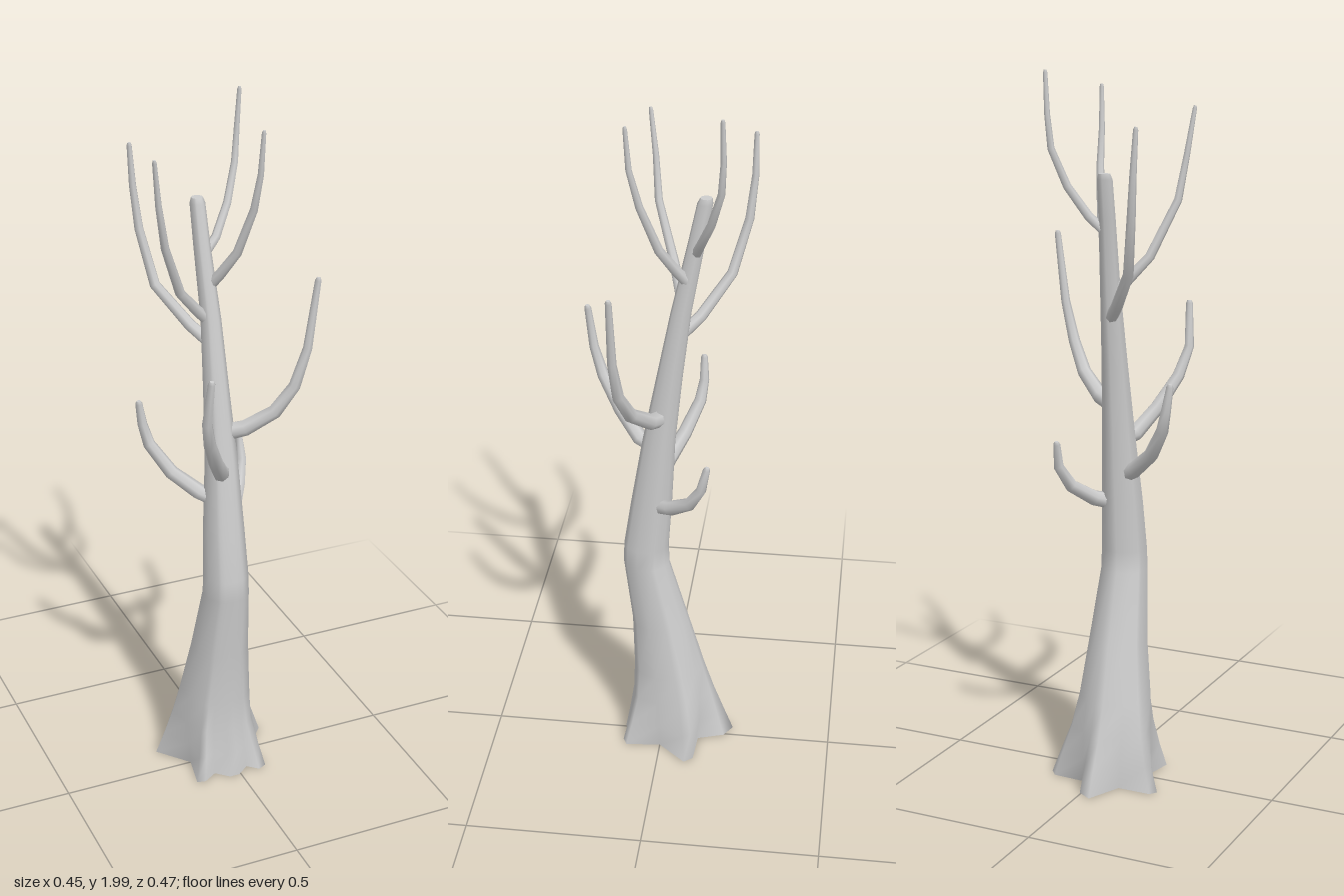
import * as THREE from 'three';

const material = new THREE.MeshStandardMaterial({ color: 0xcccccc });

// Skins a stack of closed rings (arrays of Vector3) and closes both ends
function loft(name, rings) {
  const n = rings[0].length, pos = [], index = [];
  const add = (v) => pos.push(v.x, v.y, v.z) / 3 - 1;
  rings.forEach((ring) => ring.forEach(add));
  for (let i = 0; i < rings.length - 1; i++) {
    for (let j = 0; j < n; j++) {
      const a = i * n + j, b = i * n + (j + 1) % n;
      index.push(a, a + n, b, b, a + n, b + n);
    }
  }
  // End caps have their own vertices so their rims stay sharp
  [rings[0], rings[rings.length - 1]].forEach((ring, top) => {
    const centre = new THREE.Vector3();
    ring.forEach((v) => centre.addScaledVector(v, 1 / n));
    const c = add(centre), ids = ring.map(add);
    ids.forEach((id, j) => {
      const next = ids[(j + 1) % n];
      if (top) index.push(c, next, id);
      else index.push(c, id, next);
    });
  });
  const geometry = new THREE.BufferGeometry();
  geometry.setAttribute('position', new THREE.Float32BufferAttribute(pos, 3));
  geometry.setIndex(index);
  geometry.computeVertexNormals();
  const mesh = new THREE.Mesh(geometry, material);
  mesh.name = name;
  return mesh;
}

// Trunk: a star of roots at the ground that blends into round sections
function trunk() {
  const outline = [ // x, z: two corners per root, then the hollow after it
    [0.085, 0.1], [0.06, 0.112], [0.03, 0.085],
    [-0.005, 0.113], [-0.035, 0.113], [-0.07, 0.08],
    [-0.11, 0.105], [-0.135, 0.1], [-0.115, 0.0],
    [-0.19, -0.09], [-0.175, -0.11], [-0.08, -0.11],
    [-0.035, -0.21], [0.005, -0.185], [0.03, -0.11],
    [0.125, -0.105], [0.145, -0.08], [0.075, 0.0],
  ];
  const sections = [ // y, centre x, centre z, radius, root share
    [0, -0.02, -0.03, 0.11, 1],
    [0.07, -0.025, -0.028, 0.109, 0.62],
    [0.15, -0.028, -0.025, 0.106, 0.25],
    [0.24, -0.027, -0.015, 0.1, 0.06],
    [0.4, -0.023, 0.008, 0.083, 0],
    [0.6, -0.022, 0.05, 0.066, 0],
    [0.66, -0.022, 0.05, 0.064, 0],
    [0.8, -0.022, 0.035, 0.058, 0],
    [1.0, -0.02, 0.014, 0.046, 0],
    [1.2, -0.022, -0.015, 0.036, 0],
    [1.4, -0.024, -0.046, 0.028, 0],
    [1.6, -0.033, -0.085, 0.023, 0],
    [1.71, -0.036, -0.106, 0.021, 0],
    [1.725, -0.036, -0.109, 0.016, 0],
  ];
  return loft('trunk', sections.map(([y, cx, cz, r, share]) => outline.map(([x, z]) => {
    const angle = Math.atan2(z + 0.03, x + 0.02);
    return new THREE.Vector3(
      THREE.MathUtils.lerp(cx + r * Math.cos(angle), x, share), y,
      THREE.MathUtils.lerp(cz + r * Math.sin(angle), z, share));
  })));
}

// Branch: a tapering tube through a few points with a small blunt end
function branch(name, coords, r0, r1, sides = 7) {
  const pts = coords.map((p) => new THREE.Vector3(...p));
  const last = pts.length - 1;
  pts.push(pts[last].clone().addScaledVector(pts[last].clone().sub(pts[last - 1]).normalize(), 0.008));
  const up = new THREE.Vector3(0, 1, 0);
  return loft(name, pts.map((p, i) => {
    const before = pts[Math.max(i - 1, 0)], after = pts[Math.min(i + 1, last + 1)];
    const turn = new THREE.Quaternion().setFromUnitVectors(up, after.clone().sub(before).normalize());
    const r = i > last ? r1 * 0.6 : THREE.MathUtils.lerp(r0, r1, (i / last) ** 1.3);
    return Array.from({ length: sides }, (_, j) => {
      const a = j / sides * Math.PI * 2;
      return new THREE.Vector3(r * Math.cos(a), 0, r * Math.sin(a)).applyQuaternion(turn).add(p);
    });
  }));
}

export function createModel() {
  const model = new THREE.Group();
  model.name = 'bareTree';
  model.add(trunk());
  // Lower boughs are thick, the upper ones thin
  model.add(
    branch('lowBackBough', [[0.0, 0.8, 0.02], [0.035, 0.815, -0.025], [0.078, 0.86, -0.085],
      [0.1, 0.92, -0.118], [0.098, 0.985, -0.132]], 0.024, 0.01),
    branch('lowRightBough', [[-0.03, 0.88, 0.015], [-0.08, 0.905, -0.005], [-0.145, 0.96, -0.045],
      [-0.195, 1.04, -0.083], [-0.21, 1.1, -0.092], [-0.22, 1.165, -0.09]], 0.025, 0.01),
    branch('frontBough', [[-0.025, 0.98, 0.025], [-0.045, 0.99, 0.07], [-0.085, 1.055, 0.13],
      [-0.125, 1.14, 0.185], [-0.145, 1.22, 0.213], [-0.138, 1.34, 0.227]], 0.025, 0.01),
    branch('leftBough', [[-0.01, 1.08, 0.005], [0.045, 1.095, 0.03], [0.115, 1.15, 0.072],
      [0.16, 1.23, 0.1], [0.192, 1.34, 0.11], [0.217, 1.53, 0.113]], 0.025, 0.009),
    branch('backRightBranch', [[-0.025, 1.33, -0.045], [-0.065, 1.37, -0.095], [-0.135, 1.47, -0.172],
      [-0.162, 1.62, -0.213], [-0.173, 1.74, -0.225], [-0.18, 1.85, -0.225]], 0.018, 0.007),
    branch('rightBranch', [[-0.025, 1.39, -0.052], [-0.065, 1.43, -0.04], [-0.125, 1.5, -0.014],
      [-0.185, 1.65, 0.035], [-0.205, 1.77, 0.045], [-0.22, 1.89, 0.06]], 0.017, 0.006),
    branch('frontLeftBranch', [[-0.025, 1.48, -0.07], [0.0, 1.53, -0.035], [0.03, 1.6, 0.008],
      [0.056, 1.73, 0.055], [0.063, 1.83, 0.08], [0.067, 1.94, 0.088]], 0.016, 0.006),
    branch('topBackBranch', [[-0.025, 1.57, -0.085], [0.015, 1.61, -0.1], [0.062, 1.69, -0.132],
      [0.095, 1.79, -0.16], [0.103, 1.88, -0.165], [0.109, 1.985, -0.162]], 0.014, 0.006),
  );
  return model;
}
